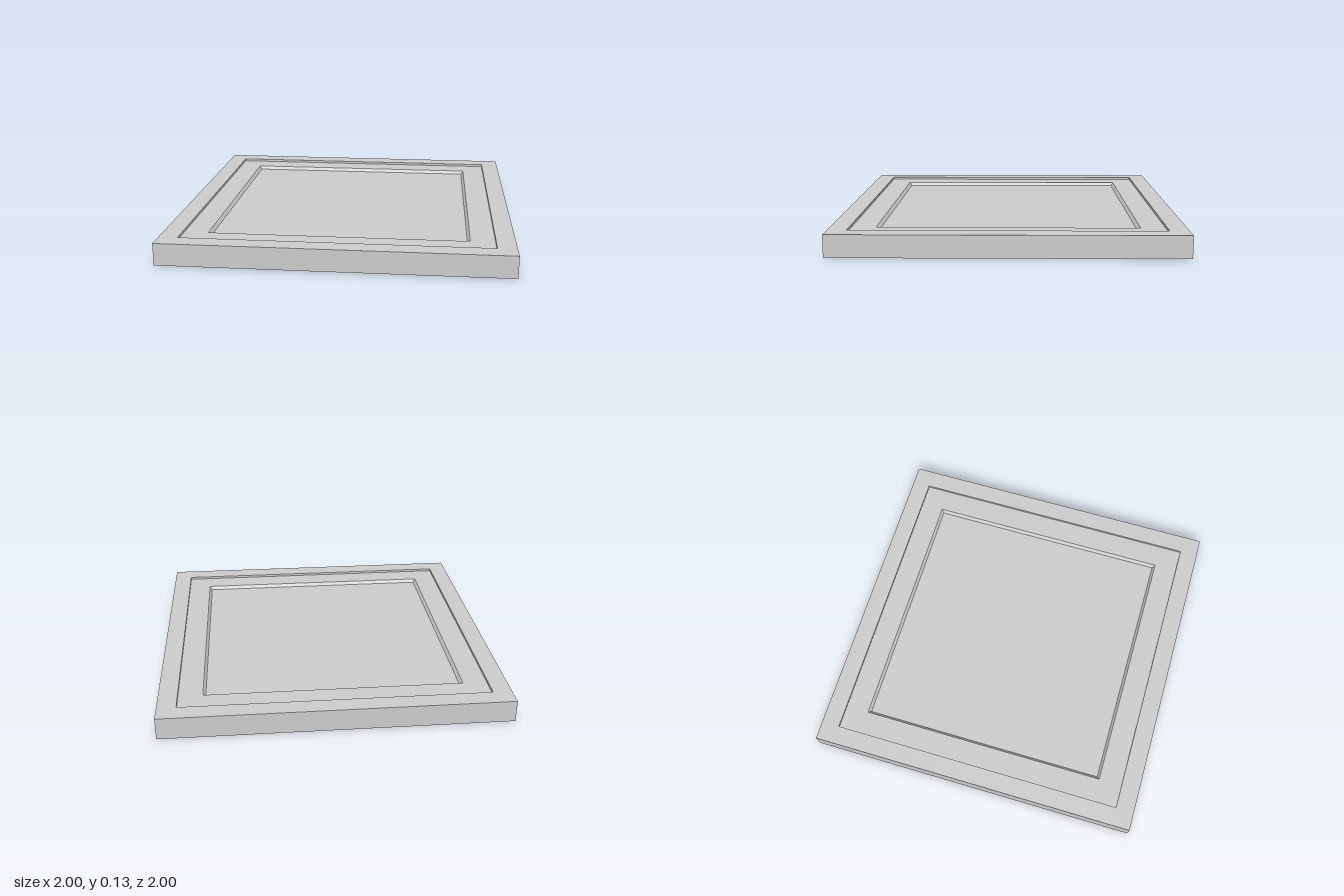
import * as THREE from 'three';

const H = 0.13;      // full thickness
const STEP = 0.015;  // drop from outer frame to inner frame
const DEEP = 0.035;  // drop from outer frame to panel
const OUTER = 1, RIM = 0.89, LIP = 0.75, FIELD = 0.735; // half widths

// Square solid or ring: a four-sided lathe of a profile of [half width, y]
function squareLathe(name, profile) {
  const points = profile.map(([w, y]) => new THREE.Vector2(w * Math.SQRT2, y));
  const geometry = new THREE.LatheGeometry(points, 4, Math.PI / 4).toNonIndexed();
  geometry.computeVertexNormals();
  const mesh = new THREE.Mesh(
    geometry,
    new THREE.MeshStandardMaterial({ color: 0xcccccc, flatShading: true })
  );
  mesh.name = name;
  return mesh;
}

export function createModel() {
  const model = new THREE.Group();
  model.name = 'framedPanel';

  // Plain square border at full thickness
  model.add(squareLathe('outerFrame', [
    [RIM, 0], [OUTER, 0], [OUTER, H], [RIM, H], [RIM, 0],
  ]));

  // Recessed border, bevelled down to the panel on both faces
  model.add(squareLathe('innerFrame', [
    [FIELD, DEEP], [LIP, STEP], [RIM, STEP],
    [RIM, H - STEP], [LIP, H - STEP], [FIELD, H - DEEP],
  ]));

  // Flat centre panel
  const panel = new THREE.Mesh(
    new THREE.BoxGeometry(2 * FIELD, H - 2 * DEEP, 2 * FIELD),
    new THREE.MeshStandardMaterial({ color: 0xcccccc, flatShading: true })
  );
  panel.name = 'centrePanel';
  panel.position.y = H / 2;
  model.add(panel);

  return model;
}
